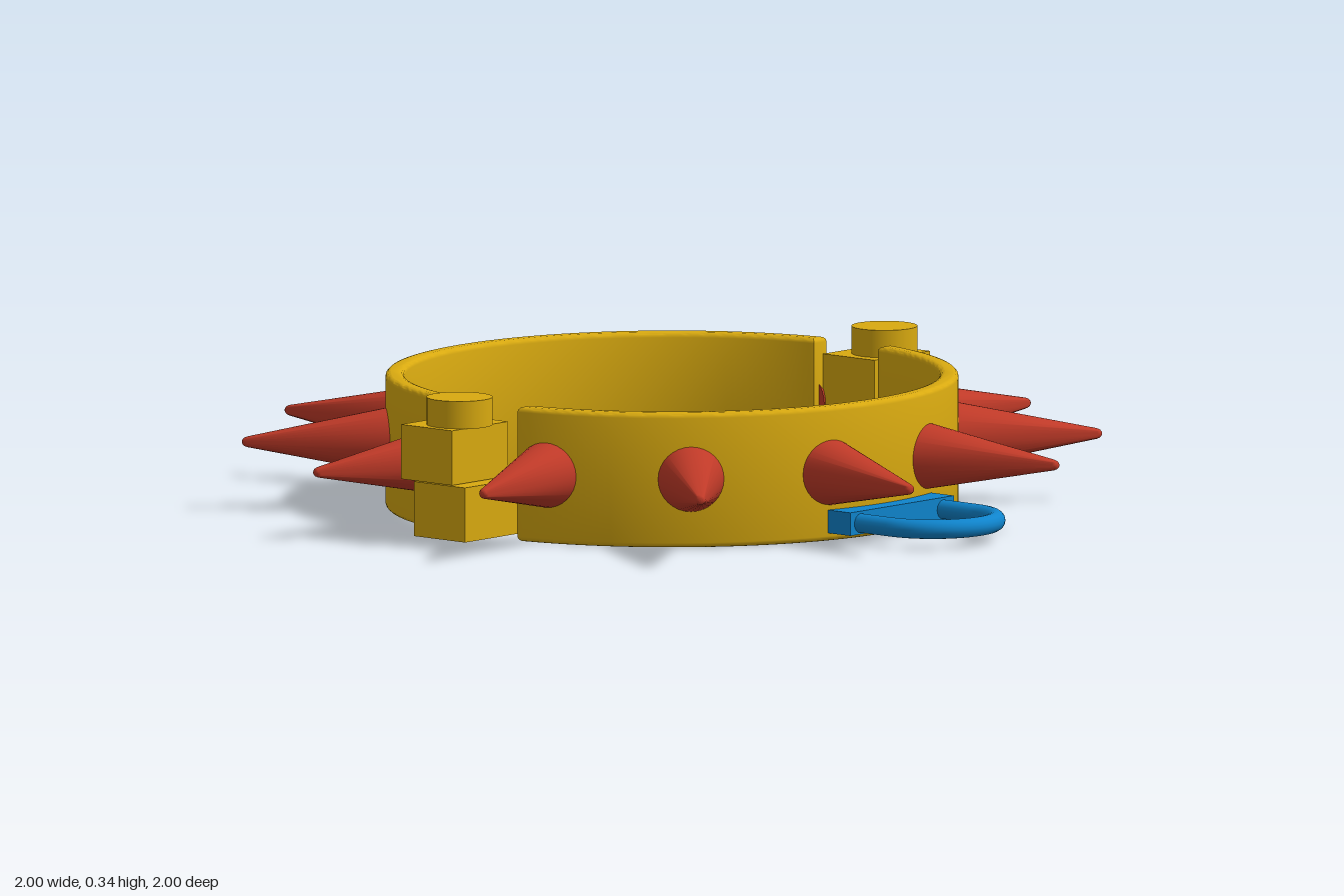
import * as THREE from 'three';
import { toCreasedNormals } from 'three/addons/utils/BufferGeometryUtils.js';

const rad = THREE.MathUtils.degToRad;
const material = (name, color) => {
  const m = new THREE.MeshStandardMaterial({ color });
  m.name = name;
  return m;
};

export function createModel() {
  const gold = material('gold', 0xd9aa10);
  const red = material('red', 0xc03a28);
  const blue = material('blue', 0x0f84cc);
  const model = new THREE.Group();
  model.name = 'spikedCollar';

  const add = (parent, name, geometry, mat, x = 0, y = 0, z = 0) => {
    const mesh = new THREE.Mesh(geometry, mat);
    mesh.name = name;
    mesh.position.set(x, y, z);
    parent.add(mesh);
    return mesh;
  };
  // Group whose local +x points outward at the given angle (from +x towards +z)
  const radial = (name, degrees) => {
    const g = new THREE.Group();
    g.name = name;
    g.rotation.y = -rad(degrees);
    model.add(g);
    return g;
  };

  // Two half bands with rounded rims, separated by parallel-sided gaps
  const outer = 0.675, inner = 0.63, height = 0.32, gap = 0.1, bevel = 0.012;
  const go = Math.asin(gap / outer), gi = Math.asin(gap / inner);
  const half = new THREE.Shape();
  half.absarc(0, 0, outer, go, Math.PI - go, false);
  half.absarc(0, 0, inner, Math.PI - gi, gi, true);
  half.closePath();
  const bandGeometry = toCreasedNormals(
    new THREE.ExtrudeGeometry(half, {
      depth: height - 2 * bevel, curveSegments: 64, bevelEnabled: true,
      bevelThickness: bevel, bevelSize: bevel, bevelOffset: -bevel, bevelSegments: 3,
    }).rotateX(Math.PI / 2).translate(0, height - bevel, 0), rad(40));
  for (const [name, angle] of [['frontBand', -55], ['backBand', 125]]) {
    add(radial(name, angle), name + 'Half', bandGeometry, gold);
  }

  // Twelve cones with rounded tips
  const spikeGeometry = new THREE.LatheGeometry([
    [0, 0.645], [0.083, 0.645], [0.0125, 1.003], [0.0095, 1.01], [0.005, 1.014], [0, 1.015],
  ].map(([r, l]) => new THREE.Vector2(r, l)), 32).rotateZ(-Math.PI / 2);
  const creasedSpike = toCreasedNormals(spikeGeometry, rad(45));
  for (let i = 0; i < 12; i++) {
    add(radial('spike', -10 + i * 30), 'spikeCone', creasedSpike, red, 0, 0.163, 0);
  }

  // Hinges: two offset knuckle blocks on a headed pin
  const block = new THREE.BoxGeometry(0.2, 0.13, 0.16);
  const head = new THREE.CylinderGeometry(0.078, 0.078, 0.066, 40);
  const pin = new THREE.CylinderGeometry(0.036, 0.036, 0.27, 24);
  for (const [angle, side] of [[125, 1], [-55, -1]]) {
    const hinge = radial('hinge', angle);
    add(hinge, 'upperKnuckle', block, gold, 0.755, 0.215, 0.02 * side);
    add(hinge, 'lowerKnuckle', block, gold, 0.755, 0.083, -0.02 * side);
    add(hinge, 'pinHead', head, gold, 0.76, 0.312, 0);
    add(hinge, 'pinShaft', pin, gold, 0.76, 0.152, 0);
  }

  // Leash loop: mounting bar with a D-shaped ring
  const leash = radial('leashLoop', 35);
  add(leash, 'mountingBar', new THREE.BoxGeometry(0.07, 0.055, 0.37), blue, 0.685, 0.047, 0);
  const loopRadius = 0.148, centre = 0.816, tube = 0.023;
  add(leash, 'loopArc',
    new THREE.TorusGeometry(loopRadius, tube, 16, 40, Math.PI).rotateZ(-Math.PI / 2).rotateX(Math.PI / 2),
    blue, centre, 0.046, 0);
  const leg = new THREE.CylinderGeometry(tube, tube, centre - 0.7, 16).rotateZ(Math.PI / 2);
  for (const s of [-1, 1]) {
    add(leash, 'loopLeg', leg, blue, (centre + 0.7) / 2, 0.046, s * loopRadius);
  }

  return model;
}
